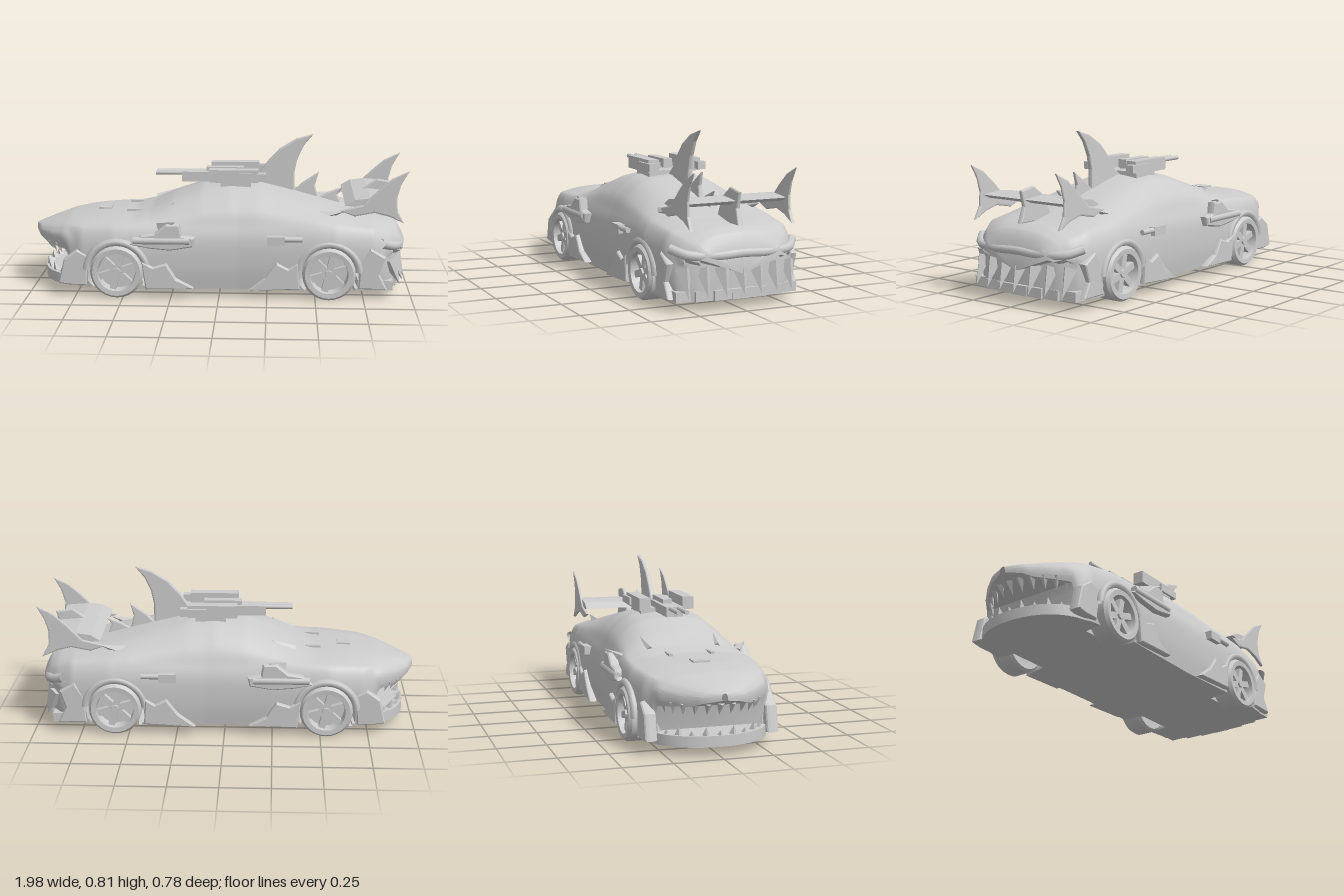
import * as THREE from 'three';
import { toCreasedNormals, mergeVertices } from 'three/addons/utils/BufferGeometryUtils.js';

const smooth = new THREE.MeshStandardMaterial({ color: 0xcccccc, side: THREE.DoubleSide });
const flat = new THREE.MeshStandardMaterial({ color: 0xcccccc, side: THREE.DoubleSide, flatShading: true });
const WHEELS = [[-0.53, 0.14], [0.57, 0.14]];

// piecewise interpolation through [x, value] pairs
const table = (pairs) => (x) => {
  if (x <= pairs[0][0]) return pairs[0][1];
  for (let i = 1; i < pairs.length; i++) {
    const [x0, a] = pairs[i - 1], [x1, b] = pairs[i];
    if (x <= x1) return a + (b - a) * (x - x0) / (x1 - x0);
  }
  return pairs[pairs.length - 1][1];
};
const roofY = table([[-1, 0.32], [-0.9, 0.355], [-0.8, 0.385], [-0.65, 0.405], [-0.45, 0.415], [-0.36, 0.44], [-0.25, 0.495],
  [-0.1, 0.55], [0.05, 0.57], [0.2, 0.56], [0.4, 0.51], [0.6, 0.455], [0.75, 0.42], [0.88, 0.395], [0.93, 0.37], [0.96, 0.3]]);
const halfW = table([[-1, 0.015], [-0.97, 0.1], [-0.9, 0.19], [-0.82, 0.27], [-0.72, 0.33], [-0.55, 0.36], [-0.2, 0.35],
  [0.1, 0.345], [0.4, 0.36], [0.6, 0.37], [0.8, 0.345], [0.88, 0.31], [0.93, 0.26], [0.96, 0.21]]);
const shoulderY = table([[-1, 0.305], [-0.9, 0.32], [-0.75, 0.35], [-0.5, 0.37], [0, 0.38], [0.5, 0.385], [0.8, 0.36], [0.96, 0.28]]);
const baseY = table([[-1, 0.285], [-0.93, 0.25], [-0.8, 0.235], [-0.76, 0.05]]);

function add(group, name, geometry, material = smooth) {
  const mesh = new THREE.Mesh(geometry, material);
  mesh.name = name;
  group.add(mesh);
  return mesh;
}

// shell lofted along x, with the wheel wells pushed in
function bodyGeometry() {
  const pos = [], index = [], N = 130;
  let cols = 0;
  for (let i = 0; i <= N + 1; i++) {
    const x = -1 + 1.96 * Math.min(i, N) / N;
    const T = roofY(x), W = halfW(x), S = shoulderY(x), B = baseY(x), h = S - B, k = T - S;
    const curve = new THREE.SplineCurve([[W * 0.96, B], [W, B + h * 0.35], [W * 0.99, B + h * 0.75], [W * 0.91, S],
      [W * 0.78, S + k * 0.45], [W * 0.48, S + k * 0.86], [0, T]].map(p => new THREE.Vector2(...p)));
    const half = [new THREE.Vector2(0, B), ...curve.getPoints(30)];
    const ring = [...half, ...half.slice(0, -1).reverse().map(p => new THREE.Vector2(-p.x, p.y))];
    cols = ring.length;
    for (const p of ring) {
      let z = p.x, y = p.y;
      if (Math.abs(z) > 0.23 && WHEELS.some(w => Math.hypot(x - w[0], y - w[1]) < 0.15)) z = Math.sign(z) * 0.23;
      // lower part of the tail tucks in under the bumper
      const tuck = x > 0.84 && y < 0.24 ? 0.04 * (x - 0.84) / 0.12 : 0;
      if (i > N) { z = 0; y = (T + B) / 2; }
      pos.push(x - tuck, y, z);
    }
  }
  for (let i = 0; i <= N; i++) for (let j = 0; j < cols - 1; j++) {
    const a = i * cols + j, b = a + cols;
    index.push(a, b, a + 1, b, b + 1, a + 1);
  }
  const g = new THREE.BufferGeometry();
  g.setAttribute('position', new THREE.Float32BufferAttribute(pos, 3));
  g.setIndex(index);
  return toCreasedNormals(mergeVertices(g), 0.7);
}

// outline in the xy plane, thickness t around z, thinning towards the top by the given taper
function plate(points, z, t, taper = 0) {
  const g = new THREE.ExtrudeGeometry(new THREE.Shape(points.map(p => new THREE.Vector2(...p))), {
    depth: t * 0.3, bevelEnabled: true, bevelThickness: t * 0.35, bevelSize: 0.008, bevelOffset: -0.008, bevelSegments: 2 });
  g.translate(0, 0, -t * 0.15);
  const ys = points.map(p => p[1]), low = Math.min(...ys), high = Math.max(...ys), p = g.attributes.position;
  for (let i = 0; i < p.count; i++) p.setZ(i, z + p.getZ(i) * (1 - taper * (p.getY(i) - low) / (high - low)));
  g.computeVertexNormals();
  return g;
}

// four-sided spike from a base point to a tip
function spike(group, name, base, tip, r) {
  const a = new THREE.Vector3(...base), d = new THREE.Vector3(...tip).sub(a);
  const m = add(group, name, new THREE.ConeGeometry(r, d.length(), 4), flat);
  m.position.copy(a).addScaledVector(d, 0.5);
  m.quaternion.setFromUnitVectors(new THREE.Vector3(0, 1, 0), d.normalize());
}

function box(group, name, x0, x1, y0, y1, z, w) {
  add(group, name, new THREE.BoxGeometry(x1 - x0, y1 - y0, w), flat).position.set((x0 + x1) / 2, (y0 + y1) / 2, z);
}
function barrel(group, name, x0, x1, y, z, r) {
  add(group, name, new THREE.CylinderGeometry(r, r, x1 - x0, 10).rotateZ(Math.PI / 2)).position.set((x0 + x1) / 2, y, z);
}

function wheel() {
  const g = new THREE.Group();
  const profile = [[0.095, -0.06], [0.125, -0.062], [0.138, -0.045], [0.138, 0.045], [0.125, 0.062], [0.1, 0.06], [0.095, 0.03], [0.095, -0.06]];
  add(g, 'tyre', toCreasedNormals(new THREE.LatheGeometry(profile.map(p => new THREE.Vector2(...p)), 28).rotateX(Math.PI / 2), 0.6));
  add(g, 'wheelDisc', new THREE.CylinderGeometry(0.098, 0.098, 0.02, 28).rotateX(Math.PI / 2)).position.z = -0.01;
  add(g, 'hub', new THREE.CylinderGeometry(0.02, 0.03, 0.07, 8).rotateX(Math.PI / 2), flat).position.z = 0.015;
  for (let i = 0; i < 6; i++) {
    const s = add(g, 'spoke', new THREE.BoxGeometry(0.085, 0.034, 0.03).translate(0.058, 0, 0.025), flat);
    s.rotation.z = i * Math.PI / 3 + 0.3;
  }
  return g;
}

export function createModel() {
  const car = new THREE.Group();
  car.name = 'sharkCar';
  add(car, 'body', bodyGeometry());

  // lower jaw: rounded slab with teeth, plus the upper row
  const jaw = new THREE.Shape();
  jaw.moveTo(-0.7, -0.31);
  jaw.bezierCurveTo(-0.88, -0.3, -0.95, -0.15, -0.95, 0);
  jaw.bezierCurveTo(-0.95, 0.15, -0.88, 0.3, -0.7, 0.31);
  const jawGeo = new THREE.ExtrudeGeometry(jaw, { depth: 0.055, bevelEnabled: false, curveSegments: 10 });
  add(car, 'lowerJaw', toCreasedNormals(jawGeo.rotateX(Math.PI / 2).translate(0, 0.105, 0), 0.6));
  for (let i = -5; i <= 5; i++) {
    const a = i / 5 * 1.2, c = Math.cos(a), s = Math.sin(a);
    spike(car, 'lowerTooth', [-0.69 - 0.235 * c, 0.09, 0.285 * s], [-0.7 - 0.245 * c, i % 2 ? 0.15 : 0.13, 0.29 * s], 0.025);
    spike(car, 'upperTooth', [-0.73 - 0.22 * c, 0.265, 0.26 * s], [-0.73 - 0.19 * c, 0.2, 0.25 * s], 0.022);
  }

  // rear bumper lip, lower gum and fangs hooked outwards
  const lip = new THREE.CatmullRomCurve3([[0.84, 0.3, 0.33], [0.91, 0.275, 0.27], [0.945, 0.27, 0.13], [0.95, 0.275, 0],
    [0.945, 0.27, -0.13], [0.91, 0.275, -0.27], [0.84, 0.3, -0.33]].map(p => new THREE.Vector3(...p)));
  add(car, 'rearLip', new THREE.TubeGeometry(lip, 30, 0.024, 8));
  for (let i = -3; i <= 3; i++) {
    const z = i * 0.093, x = 0.92 - 0.5 * z * z;
    spike(car, 'rearFang', [x, 0.205, z], [x + 0.06, 0.07, z], 0.042);
    box(car, 'rearGum', x - 0.06, x + 0.02, 0.05, 0.1, z, 0.094);
  }

  // dorsal fin with smaller ridge fins behind it
  add(car, 'dorsalFin', plate([[0.12, 0.53], [0.2, 0.6], [0.25, 0.67], [0.31, 0.735], [0.4, 0.79], [0.49, 0.815], [0.44, 0.755],
    [0.405, 0.68], [0.39, 0.61], [0.39, 0.49]], 0, 0.034, 0.4));
  add(car, 'ridgeFin', plate([[0.37, 0.49], [0.43, 0.55], [0.52, 0.61], [0.5, 0.54], [0.52, 0.46]], 0, 0.03, 0.5));
  add(car, 'ridgeFin', plate([[0.5, 0.46], [0.57, 0.5], [0.65, 0.53], [0.62, 0.49], [0.64, 0.44]], 0, 0.03, 0.5));

  // rear wing with crescent end plates and a middle strut
  const wing = new THREE.Shape([[0.65, 0.485], [0.7, 0.515], [0.78, 0.525], [0.9, 0.515], [0.86, 0.495], [0.74, 0.475]].map(p => new THREE.Vector2(...p)));
  add(car, 'wing', new THREE.ExtrudeGeometry(wing, { depth: 0.54, bevelEnabled: false }).translate(0, 0, -0.27), flat);
  const crescent = [[0.62, 0.46], [0.74, 0.49], [0.82, 0.57], [0.89, 0.63], [0.975, 0.67], [0.935, 0.6], [0.915, 0.53], [0.92, 0.46],
    [0.955, 0.395], [0.88, 0.43], [0.8, 0.45], [0.7, 0.43]];
  for (const z of [-0.272, 0.272]) add(car, 'wingEndFin', plate(crescent, z, 0.02, 0.5));
  add(car, 'wingStrut', plate([[0.7, 0.4], [0.75, 0.52], [0.83, 0.575], [0.92, 0.56], [0.9, 0.48], [0.93, 0.4]], 0, 0.03, 0.4));

  // roof guns
  box(car, 'centreGun', -0.21, 0.08, 0.56, 0.612, 0, 0.09);
  box(car, 'gunReceiver', -0.08, 0.12, 0.59, 0.635, 0, 0.05);
  box(car, 'gunMount', 0, 0.16, 0.54, 0.58, 0, 0.25);
  for (const z of [-0.022, 0.022]) barrel(car, 'centreBarrel', -0.35, -0.2, 0.603, z, 0.012);

  // parts mirrored on both sides
  const shards = [
    ['cheekArmour', [[-0.84, 0.07], [-0.81, 0.2], [-0.74, 0.25], [-0.68, 0.22], [-0.69, 0.06], [-0.78, 0.06]], 0.31, 0.06],
    ['skirtArmour', [[-0.38, 0.05], [-0.4, 0.2], [-0.34, 0.17], [-0.27, 0.19], [-0.22, 0.11], [-0.13, 0.06]], 0.355, 0.04],
    ['skirtBlade', [[0.15, 0.05], [0.24, 0.12], [0.3, 0.2], [0.36, 0.17], [0.41, 0.2], [0.42, 0.06]], 0.355, 0.04],
    ['rearArmour', [[0.72, 0.06], [0.73, 0.2], [0.78, 0.28], [0.86, 0.23], [0.83, 0.14], [0.87, 0.06]], 0.33, 0.05],
    ['gunShroud', [[-0.46, 0.29], [-0.4, 0.34], [-0.33, 0.35], [-0.27, 0.4], [-0.2, 0.4], [-0.19, 0.34], [-0.12, 0.33],
      [-0.13, 0.28], [-0.25, 0.26], [-0.36, 0.27]], 0.355, 0.05],
  ];
  for (const s of [1, -1]) {
    for (const [name, pts, z, t] of shards) add(car, name, plate(pts, s * z, t), flat);
    for (const [x, y] of WHEELS) {
      const w = wheel();
      w.name = 'wheel';
      w.position.set(x, y, s * 0.312);
      if (s < 0) w.rotation.y = Math.PI;
      car.add(w);
      // flared arch
      const arch = add(car, 'wheelArch', new THREE.TorusGeometry(0.157, 0.02, 6, 20, Math.PI * 0.95));
      arch.position.set(x, y, s * 0.352);
      arch.rotation.z = 0.08;
    }
    box(car, 'roofGun', -0.06, 0.2, 0.575, 0.642, s * 0.12, 0.06);
    box(car, 'roofGunStock', 0.1, 0.24, 0.585, 0.625, s * 0.14, 0.045);
    barrel(car, 'sideGunBarrel', -0.44, -0.15, 0.312, s * 0.37, 0.02);
    box(car, 'rearSideGun', 0.25, 0.34, 0.295, 0.34, s * 0.36, 0.04);
    barrel(car, 'rearSideBarrel', 0.33, 0.43, 0.325, s * 0.365, 0.014);
    spike(car, 'sideFin', [-0.3, 0.37, s * 0.31], [-0.22, 0.415, s * 0.385], 0.035);
    // bonnet and shoulder scales
    box(car, 'bonnetVent', -0.5, -0.42, 0.405, 0.422, s * 0.11, 0.02);
    spike(car, 'shoulderScale', [-0.36, 0.42, s * 0.18], [-0.24, 0.475, s * 0.2], 0.025);
    spike(car, 'rearScale', [0.53, 0.42, s * 0.24], [0.66, 0.455, s * 0.25], 0.03);
  }
  box(car, 'bonnetScoop', -0.66, -0.59, 0.395, 0.413, 0, 0.09);
  return car;
}
